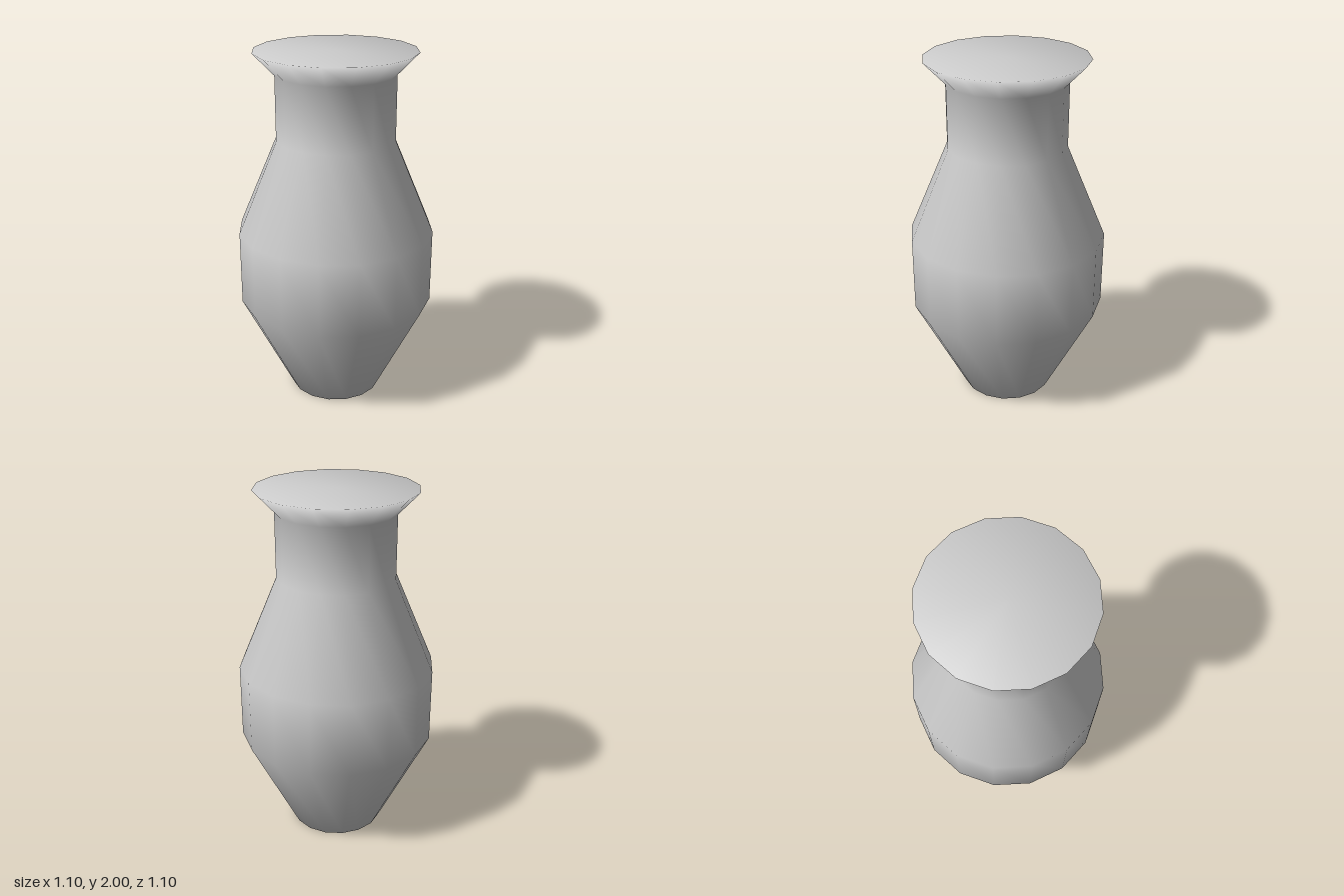
import * as THREE from 'three';

export function createModel() {
  const group = new THREE.Group();
  group.name = 'vase';

  // Closed profile: flat base, tapered foot, belly, shoulder, neck, flared lip, flat top
  const profile = [
    [0, 0], [0.26, 0], [0.55, 0.58], [0.55, 1.0],
    [0.33, 1.52], [0.33, 1.88], [0.445, 2], [0, 2],
  ].map(([r, y]) => new THREE.Vector2(r, y));

  // Sixteen-sided turned body with smooth normals
  const body = new THREE.Mesh(
    new THREE.LatheGeometry(profile, 16),
    new THREE.MeshStandardMaterial({ color: 0xcccccc })
  );
  body.name = 'vaseBody';
  group.add(body);
  return group;
}
